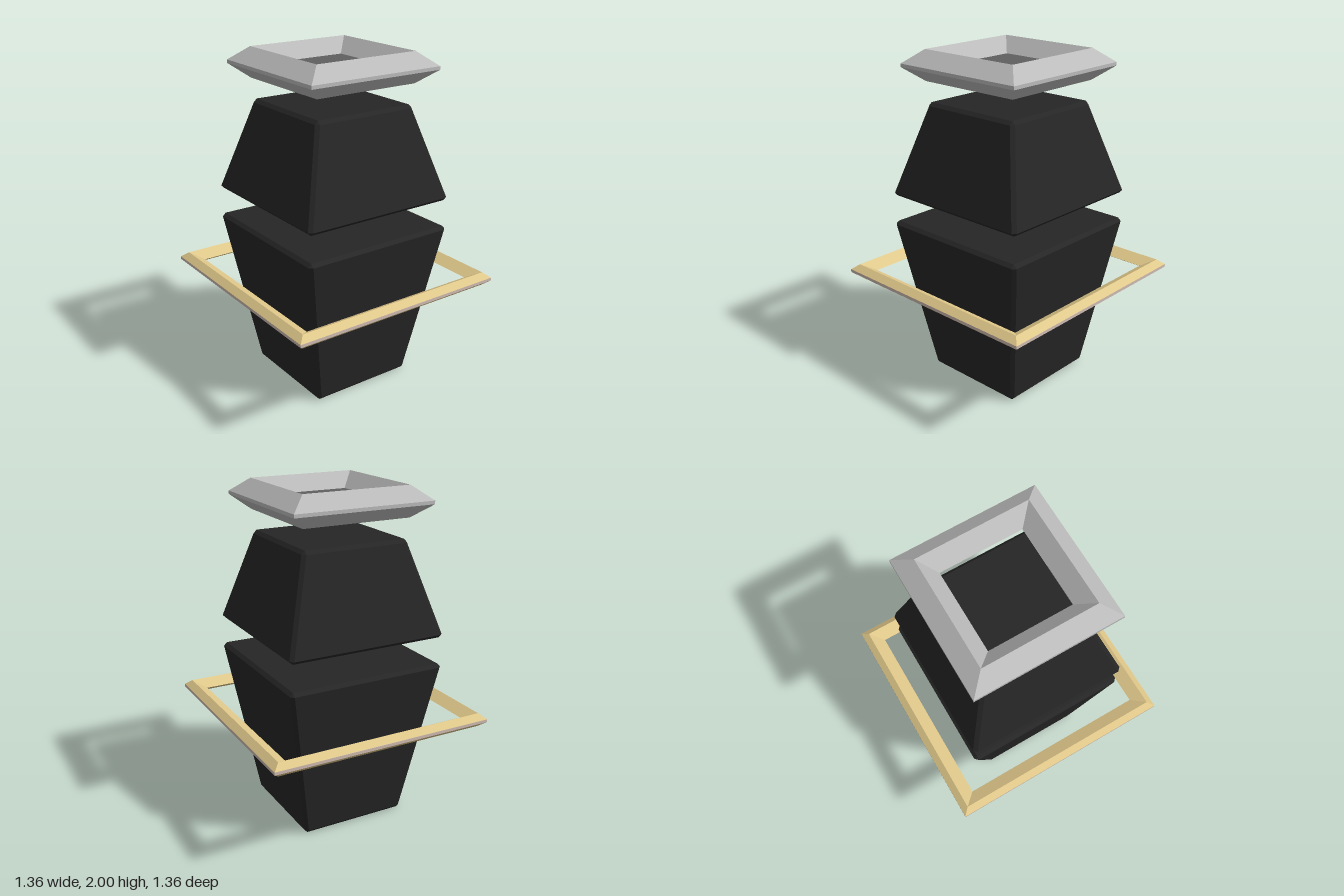
import * as THREE from 'three';
import { ConvexGeometry } from 'three/addons/geometries/ConvexGeometry.js';

const flat = (name, color) => {
  const m = new THREE.MeshStandardMaterial({ color });
  m.name = name;
  return m;
};

// Tapered block with chamfered edges and corners
function taperedBlock(y0, half0, y1, half1, c = 0.02) {
  const points = [];
  for (const [y, half, cap] of [[y0, half0, true], [y0 + c, half0, false], [y1 - c, half1, false], [y1, half1, true]]) {
    for (const sx of [-1, 1]) for (const sz of [-1, 1]) {
      const inner = half - c;
      if (cap) points.push(new THREE.Vector3(sx * inner, y, sz * inner));
      else points.push(
        new THREE.Vector3(sx * half, y, sz * inner),
        new THREE.Vector3(sx * inner, y, sz * half));
    }
  }
  return new ConvexGeometry(points);
}

// Square frame swept from a profile of [half width, height] pairs
function squareSweep(profile) {
  const pts = profile.map(([half, y]) => new THREE.Vector2(half * Math.SQRT2, y));
  const g = new THREE.LatheGeometry(pts, 4, Math.PI / 4).toNonIndexed();
  g.computeVertexNormals();
  return g;
}

export function createModel() {
  const black = flat('black', 0x262626);
  const gold = flat('gold', 0xe0c88a);
  const silver = flat('silver', 0xbcbcbc);
  const rose = flat('pale rose', 0xd0bcb2);

  const model = new THREE.Group();
  model.name = 'floatingLantern';
  const add = (name, geometry, material) => {
    const mesh = new THREE.Mesh(geometry, material);
    mesh.name = name;
    model.add(mesh);
  };

  // Two mirrored body blocks, wide ends facing each other
  add('lowerBody', taperedBlock(0, 0.33, 0.98, 0.485), black);
  add('upperBody', taperedBlock(1.14, 0.485, 1.7, 0.33), black);

  // Floating crown frame
  add('crownFrame', squareSweep([
    [0.33, 1.82], [0.428, 1.9], [0.428, 1.92], [0.33, 2], [0.242, 1.91], [0.33, 1.82]]), silver);

  // Wide waist frame with a pale outer rim
  add('waistFrameTop', squareSweep([[0.682, 0.665], [0.643, 0.697], [0.57, 0.656]]), gold);
  add('waistFrameBottom', squareSweep([[0.57, 0.656], [0.643, 0.615], [0.682, 0.647]]), gold);
  add('waistFrameRim', squareSweep([[0.682, 0.647], [0.682, 0.665]]), rose);

  return model;
}
